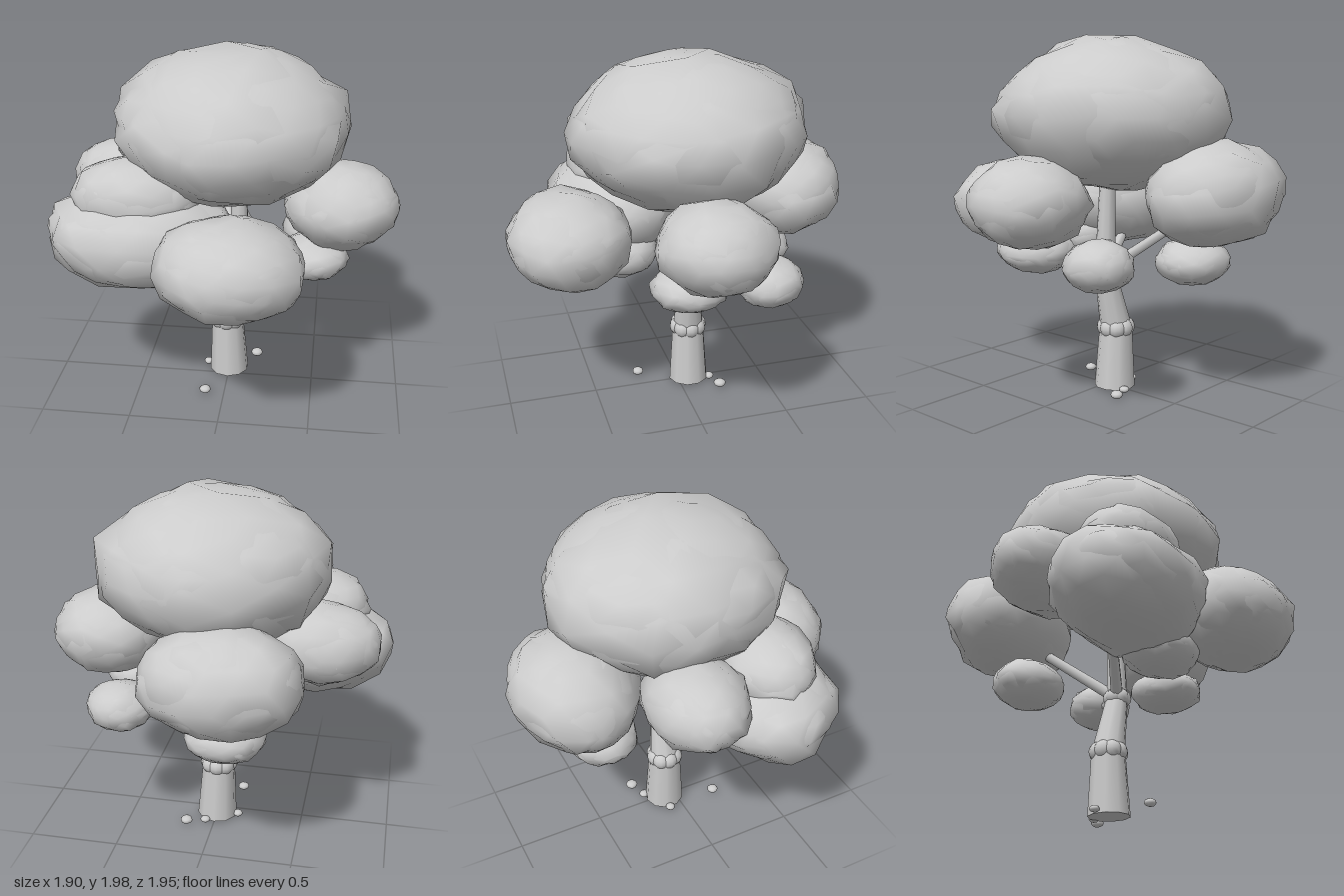
import * as THREE from 'three';
import { mergeVertices } from 'three/addons/utils/BufferGeometryUtils.js';

const material = new THREE.MeshStandardMaterial({ color: 0xcccccc });
const V = (x, y, z) => new THREE.Vector3(x, y, z);

function seeded(seed) {
  let s = seed * 7919 + 17;
  return () => (s = (s * 16807) % 2147483647) / 2147483647;
}

// crumpled smooth ball with half sizes `size`; peaks are directions that are drawn out
function lump(name, centre, size, seed, rough, detail, peaks = []) {
  let geo = new THREE.IcosahedronGeometry(1, detail);
  geo.deleteAttribute('uv');
  geo.deleteAttribute('normal');
  geo = mergeVertices(geo, 1e-4);
  geo.rotateX(seed).rotateY(seed * 2);
  const random = seeded(seed);
  for (let i = 0; i < 5; i++) random();
  const p = geo.attributes.position;
  const v = V(0, 0, 0);
  for (let i = 0; i < p.count; i++) {
    v.fromBufferAttribute(p, i);
    let r = 1 + rough * (random() - 0.5);
    for (const [x, y, z, h] of peaks) {
      r += h * Math.exp(-14 * v.distanceToSquared(V(x, y, z).normalize()));
    }
    p.setXYZ(i, v.x * r * size[0], v.y * r * size[1], v.z * r * size[2]);
  }
  geo.computeVertexNormals();
  const mesh = new THREE.Mesh(geo, material);
  mesh.name = name;
  mesh.position.set(...centre);
  return mesh;
}

// foliage cluster: a rounded core with a coarser jagged shell poking through
function cluster(name, centre, size, seed, peaks) {
  const group = new THREE.Group();
  group.name = name;
  group.add(
    lump(name + 'Core', centre, size.map((s) => s * 0.97), seed, 0.07, 3, peaks),
    lump(name + 'Shell', centre, size.map((s) => s * 0.98), seed + 40, 0.14, 2, peaks),
  );
  return group;
}

// tapered limb between two points
function limb(name, a, b, ra, rb, sides = 10) {
  const dir = b.clone().sub(a);
  const mesh = new THREE.Mesh(new THREE.CylinderGeometry(rb, ra, dir.length(), sides), material);
  mesh.name = name;
  mesh.position.copy(a).add(b).multiplyScalar(0.5);
  mesh.quaternion.setFromUnitVectors(V(0, 1, 0), dir.normalize());
  return mesh;
}

// ring of bark knobs around a trunk joint
function knobRing(name, centre, radius, knob, count) {
  const ring = new THREE.Group();
  ring.name = name;
  const geo = new THREE.SphereGeometry(knob, 12, 8);
  for (let i = 0; i < count; i++) {
    const a = (i / count) * Math.PI * 2;
    const ball = new THREE.Mesh(geo, material);
    ball.position.set(centre.x + radius * Math.cos(a), centre.y, centre.z + radius * Math.sin(a));
    ring.add(ball);
  }
  return ring;
}

export function createModel() {
  const tree = new THREE.Group();
  tree.name = 'tree';

  // trunk in two bent sections with knobbly joints
  const base = V(0, 0.015, -0.065);
  const middle = V(-0.01, 0.36, -0.065);
  const fork = V(0.065, 0.695, -0.05);
  tree.add(
    limb('lowerTrunk', base, middle, 0.115, 0.093),
    limb('upperTrunk', middle, fork, 0.09, 0.06),
    knobRing('lowerJoint', middle, 0.053, 0.056, 8),
    knobRing('upperJoint', fork, 0.029, 0.05, 6),
  );

  // foliage: name, centre, half sizes, peaks
  [
    ['crown', [0.01, 1.565, -0.06], [0.64, 0.425, 0.645],
      [[0, -0.1, 1, 0.08], [1, 0.15, -0.2, 0.08], [0, 0.2, -1, 0.07], [0.6, 0, 0.75, 0.05], [-1, 0.2, 0, 0.03]]],
    ['frontFoliage', [0.08, 1.035, 0.63], [0.395, 0.26, 0.345]],
    ['rightFoliage', [-0.44, 1.04, 0.27], [0.52, 0.29, 0.39], [[-0.5, -0.85, 0, 0.07]]],
    ['rightUpperFoliage', [-0.46, 1.26, 0.28], [0.35, 0.21, 0.26]],
    ['rightRearFoliage', [-0.57, 1.21, -0.17], [0.33, 0.22, 0.27]],
    ['backFoliage', [-0.13, 1.165, -0.65], [0.43, 0.29, 0.335]],
    ['leftFoliage', [0.625, 1.135, -0.03], [0.325, 0.24, 0.315]],
    ['leftLowTuft', [0.48, 0.86, 0.07], [0.2, 0.12, 0.21]],
    ['leftRearLowTuft', [0.475, 0.835, -0.37], [0.19, 0.135, 0.185]],
    ['backLowTuft', [-0.13, 0.785, -0.51], [0.22, 0.135, 0.2]],
    ['frontLowTuft', [-0.12, 0.84, 0.3], [0.22, 0.14, 0.21]],
  ].forEach(([name, c, s, peaks], i) => tree.add(cluster(name, c, s, i + 1, peaks)));

  // branches rising from the fork
  tree.add(
    limb('crownBranch', fork, V(0.05, 1.3, -0.06), 0.058, 0.042),
    limb('leftBranch', fork, V(0.475, 0.83, -0.36), 0.036, 0.026, 8),
    limb('backBranch', fork, V(-0.12, 1.1, -0.6), 0.032, 0.024, 8),
    limb('rightBranch', fork, V(-0.3, 0.9, 0.1), 0.036, 0.026, 8),
  );

  // pebbles around the foot
  [
    [-0.11, 0.03, 0.22, 0.033], [0.155, 0.032, -0.215, 0.035],
    [-0.128, 0.03, -0.085, 0.028], [0.05, 0.026, -0.18, 0.028],
  ].forEach(([x, y, z, r], i) => tree.add(lump('pebble', [x, y, z], [r, r * 0.65, r], 20 + i, 0.1, 1)));

  return tree;
}
